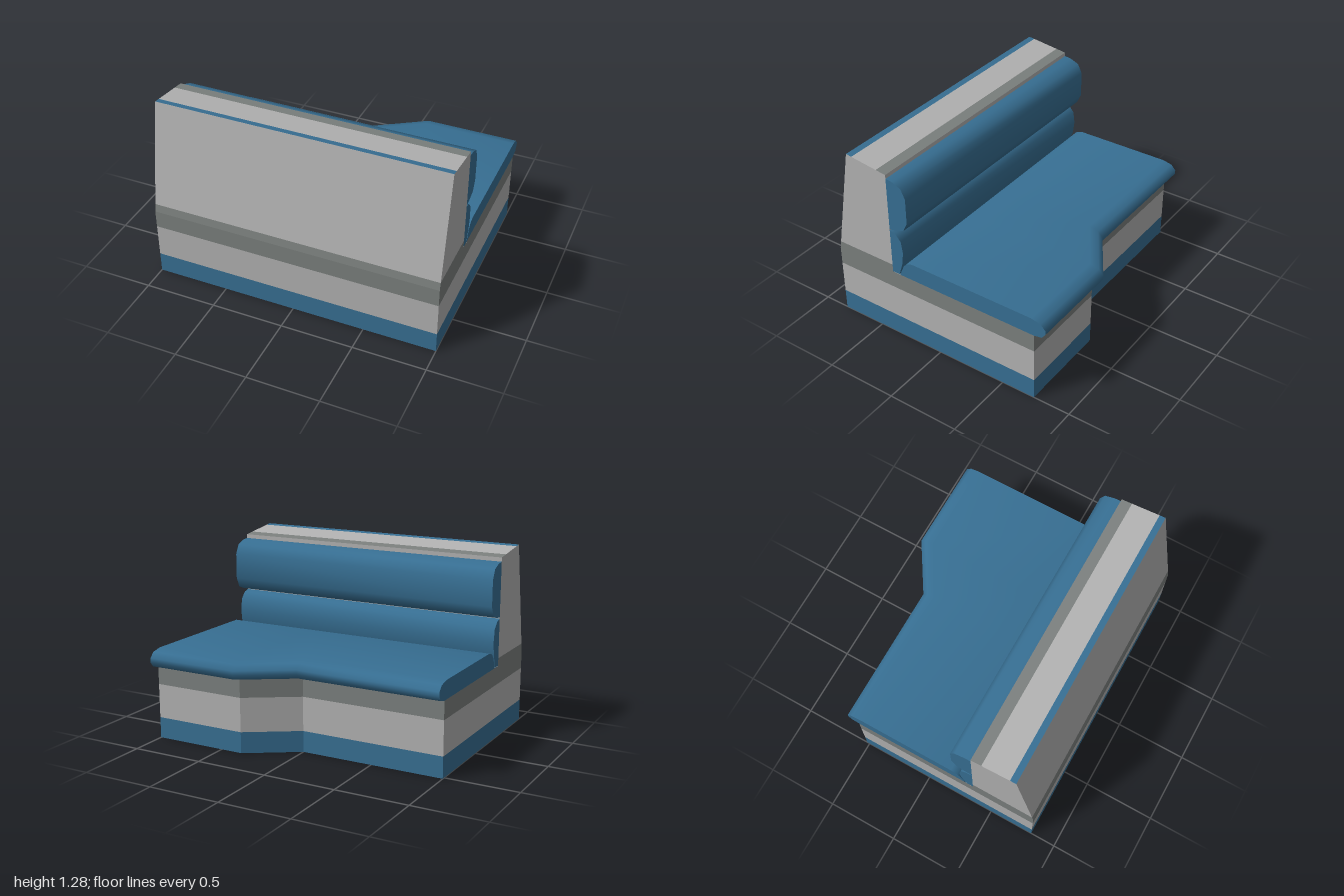
import * as THREE from 'three';
import { toCreasedNormals } from 'three/addons/utils/BufferGeometryUtils.js';

function makeMaterial(name, color) {
  const m = new THREE.MeshStandardMaterial({ color, side: THREE.DoubleSide });
  m.name = name;
  return m;
}

// Skin a list of sections (arrays of [x, y, z]) with quads
function loft(sections, crease = 0) {
  const pos = [];
  for (let s = 0; s + 1 < sections.length; s++) {
    const a = sections[s], b = sections[s + 1];
    for (let i = 0; i + 1 < a.length; i++) {
      for (const p of [a[i], a[i + 1], b[i + 1], a[i], b[i + 1], b[i]]) pos.push(...p);
    }
  }
  const g = new THREE.BufferGeometry();
  g.setAttribute('position', new THREE.Float32BufferAttribute(pos, 3));
  g.computeVertexNormals();
  return crease ? toCreasedNormals(g, crease) : g;
}

export function createModel() {
  const group = new THREE.Group();
  const blue = makeMaterial('blue upholstery', 0x376f93);
  const light = makeMaterial('light grey panel', 0xb2b2b2);
  const dark = makeMaterial('dark grey panel', 0x7b807e);

  const add = (name, geometry, material, parent = group) => {
    const mesh = new THREE.Mesh(geometry, material);
    mesh.name = name;
    parent.add(mesh);
  };

  // Hollow base: three bands following the stepped plan
  const plan = [[-1, 0.82], [1, 0.82], [1, -0.74], [0.345, -0.74], [0, -0.52], [-1, -0.52], [-1, 0.82]];
  const ring = (y) => plan.map(([x, z]) => [x, y, z]);
  add('basePlinth', loft([ring(0), ring(0.145)]), blue);
  add('basePanel', loft([ring(0.145), ring(0.38)]), light);
  add('baseUpperBand', loft([ring(0.38), ring(0.505)]), dark);

  // Tapered backrest shell: rear face slopes, front face is upright
  const backRing = (rearY, rearZ, frontY) => [
    [-1, rearY, rearZ], [1, rearY, rearZ], [1, frontY, 0.365], [-1, frontY, 0.365], [-1, rearY, rearZ],
  ];
  const low = backRing(0.505, 0.82, 0.505);
  const mid = backRing(0.56, 0.81, 0.56);
  add('backrestLowerBand', loft([low, mid]), dark);
  add('backrestShell', loft([mid, backRing(1.285, 0.68, 1.245)]), light);

  // Striped backrest top
  const topLine = (z) => {
    const y = 1.245 + 0.04 * (z - 0.365) / 0.315;
    return [[-1, y, z], [1, y, z]];
  };
  add('topRearTrim', loft([topLine(0.68), topLine(0.637)]), blue);
  add('topPanel', loft([topLine(0.637), topLine(0.44)]), light);
  add('topFrontTrim', loft([topLine(0.44), topLine(0.365)]), dark);

  // Narrow ledge behind the seat cushion
  add('seatLedge', loft([[[-1, 0.505, 0.365], [1, 0.505, 0.365]], [[-1, 0.505, 0.3], [1, 0.505, 0.3]]]), light);

  // Cushions: a [z, y] profile run across the width, flat at both ends
  function cushion(name, profile, stations) {
    const part = new THREE.Group();
    part.name = name;
    const section = (shift) => profile.map(([z, y]) => [z < 0 ? z + shift : z, y]);
    const sections = stations.map(([x, shift]) => section(shift).map(([z, y]) => [x, y, z]));
    add(name + 'Cover', loft(sections, 0.95), blue, part);
    for (const [x, shift] of [stations[0], stations[stations.length - 1]]) {
      const pts = section(shift).map(([z, y]) => new THREE.Vector2(-x * z, y));
      const cap = new THREE.ShapeGeometry(new THREE.Shape(pts));
      cap.rotateY(x * Math.PI / 2).translate(x, 0, 0);
      add(name + 'End', cap, blue, part);
    }
    group.add(part);
  }

  const straight = [[1, 0], [-1, 0]];
  cushion('seatCushion', [
    [0.305, 0.505], [0.27, 0.585], [0.245, 0.615], [0.2, 0.63], [-0.72, 0.63], [-0.785, 0.615],
    [-0.82, 0.58], [-0.82, 0.55], [-0.795, 0.517], [-0.74, 0.505],
  ], [[1, 0], [0.345, 0], [0, 0.22], [-1, 0.22]]);
  cushion('lumbarCushion', [
    [0.365, 0.832], [0.32, 0.82], [0.28, 0.775], [0.268, 0.69], [0.28, 0.6], [0.31, 0.507], [0.365, 0.507],
  ], straight);
  cushion('headCushion', [
    [0.365, 1.217], [0.315, 1.212], [0.25, 1.185], [0.218, 1.12], [0.218, 0.94], [0.25, 0.872],
    [0.315, 0.848], [0.365, 0.842],
  ], straight);

  return group;
}
